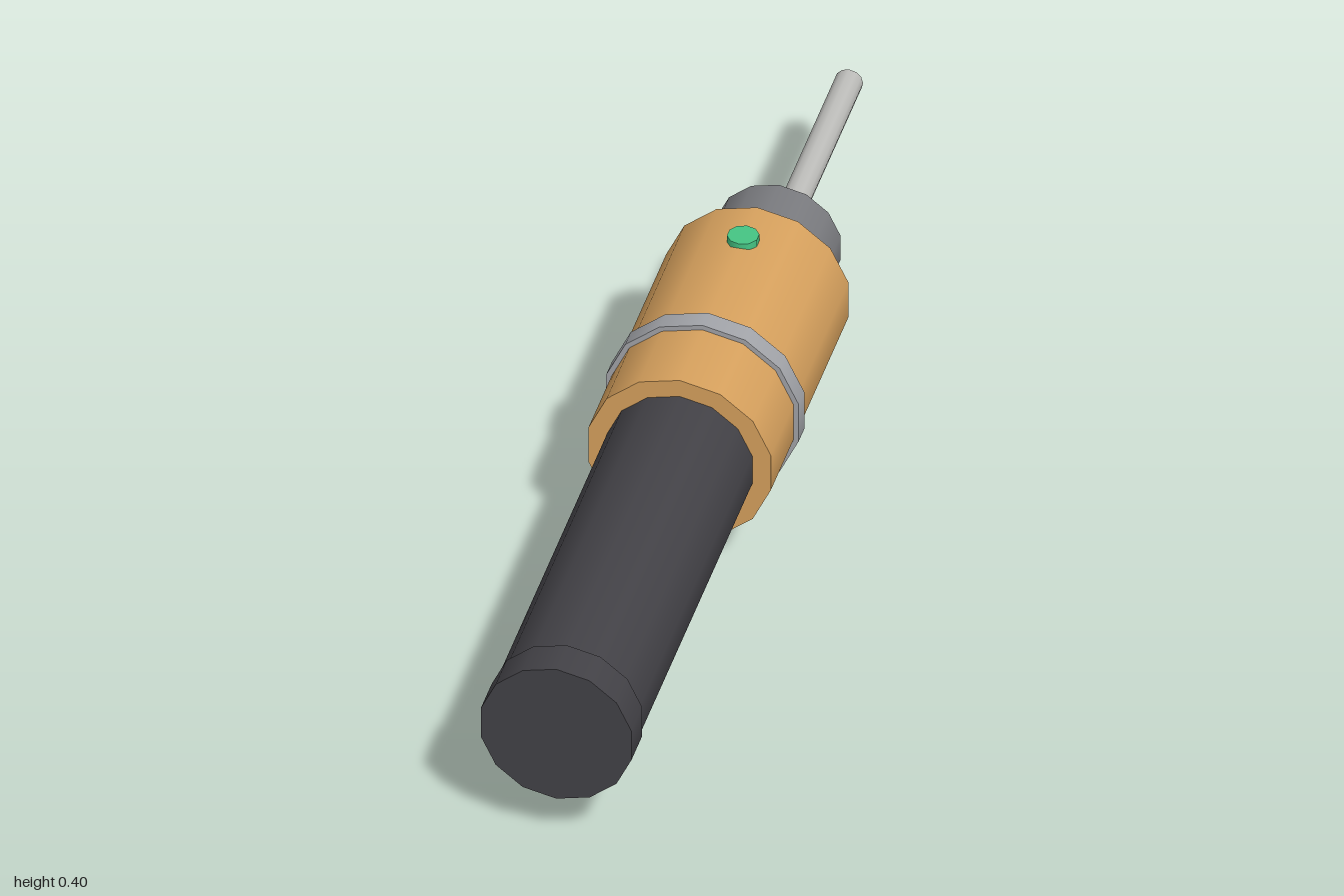
import * as THREE from 'three';

const AXIS_Y = 0.225;

export function createModel() {
  const model = new THREE.Group();
  model.name = 'handheldTool';

  const material = (name, color) => {
    const m = new THREE.MeshStandardMaterial({ color });
    m.name = name;
    return m;
  };
  const amber = material('amber body', 0xd8a25e);
  const charcoal = material('charcoal', 0x434247);
  const silver = material('silver ring', 0xa3a5aa);
  const grey = material('mid grey', 0x7a7b7f);
  const steel = material('pale steel', 0xbebebb);
  const green = material('green button', 0x45c584);

  const add = (name, geometry, mat) => {
    const mesh = new THREE.Mesh(geometry, mat);
    mesh.name = name;
    model.add(mesh);
    return mesh;
  };
  // Cylinder lying along z on the tool's axis
  const barrel = (name, radius, zFront, zBack, sides, mat) =>
    add(name, new THREE.CylinderGeometry(radius, radius, zFront - zBack, sides)
      .rotateX(Math.PI / 2)
      .translate(0, AXIS_Y, (zFront + zBack) / 2), mat);
  const box = (name, w, h, d, y, z, mat) =>
    add(name, new THREE.BoxGeometry(w, h, d).translate(0, y, z), mat);

  // Handle and its end cap
  barrel('handle', 0.133, 0.95, 0.15, 14, charcoal);
  barrel('endCap', 0.138, 1, 0.927, 14, charcoal);

  // Main housing with clamp ring
  barrel('housing', 0.167, 0.163, -0.363, 14, amber);
  barrel('clampRing', 0.1765, 0.009, -0.029, 14, silver);

  // Nose, shaft, cross pin and square tip
  barrel('nose', 0.1135, -0.34, -0.508, 14, grey);
  barrel('shaft', 0.025, -0.49, -0.985, 12, steel);
  box('crossPin', 0.057, 0.014, 0.037, AXIS_Y, -0.602, steel);
  box('tip', 0.02, 0.02, 0.03, AXIS_Y, -0.985, grey);

  // Button on top, mounting foot underneath
  add('button', new THREE.CylinderGeometry(0.028, 0.028, 0.014, 10)
    .translate(0, 0.394, -0.267), green);
  box('foot', 0.076, 0.07, 0.225, 0.035, -0.031, charcoal);

  return model;
}
